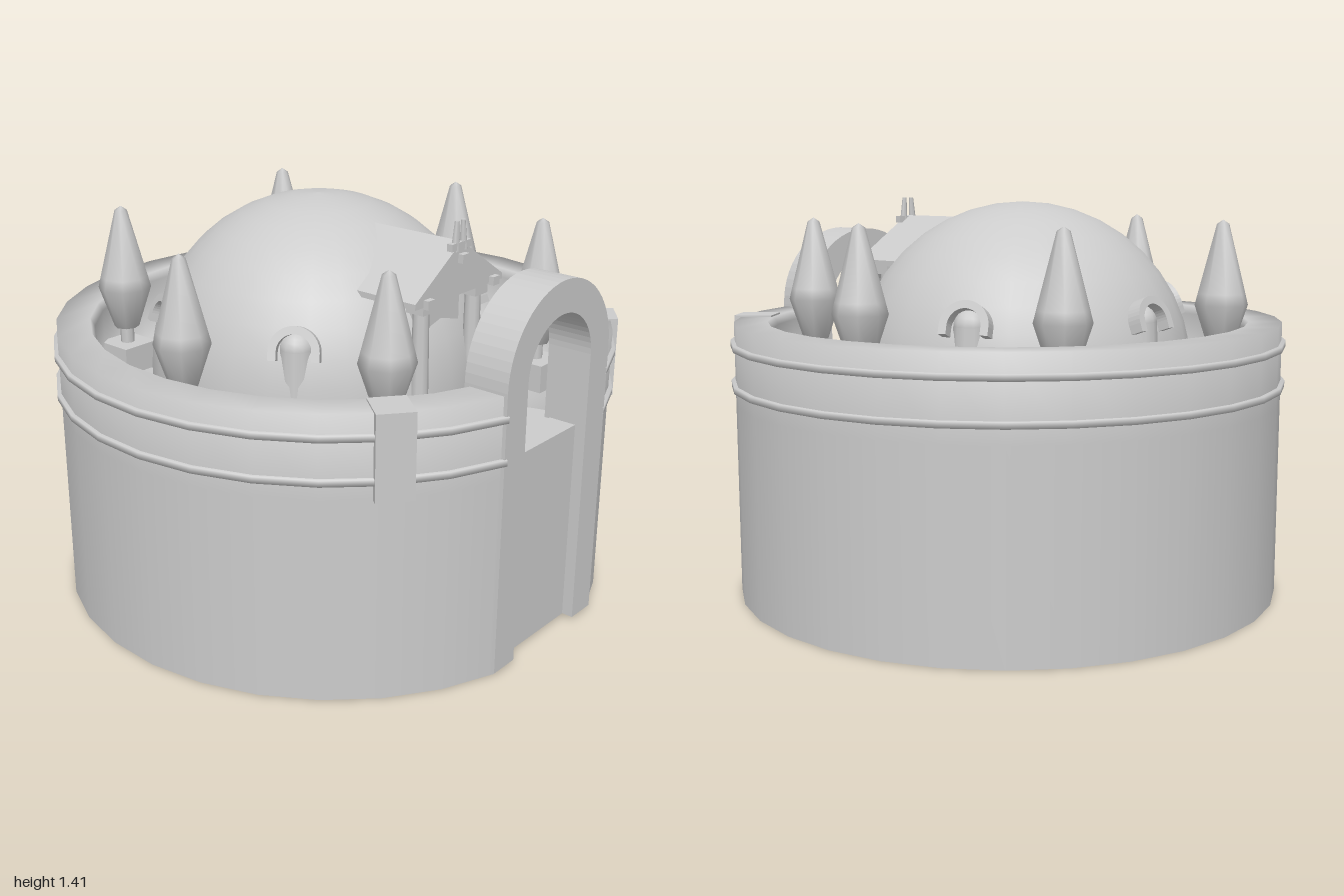
import * as THREE from 'three';

const mat = new THREE.MeshStandardMaterial({ color: 0xcccccc, side: THREE.DoubleSide });

function add(parent, name, geo, x = 0, y = 0, z = 0) {
  const m = new THREE.Mesh(geo, mat);
  m.name = name;
  m.position.set(x, y, z);
  parent.add(m);
  return m;
}
const box = (w, h, d) => new THREE.BoxGeometry(w, h, d);
const lathe = (pts, seg, start = 0, len = Math.PI * 2) =>
  new THREE.LatheGeometry(pts.map(p => new THREE.Vector2(...p)), seg, start, len);

// Upside-down U outline: straight legs from y0 up to y1, then a half circle
function archShape(ro, ri, y0, y1) {
  const s = new THREE.Shape();
  s.moveTo(ro, y0);
  s.lineTo(ro, y1);
  s.absarc(0, y1, ro, 0, Math.PI, false);
  s.lineTo(-ro, y0);
  s.lineTo(-ri, y0);
  s.lineTo(-ri, y1);
  s.absarc(0, y1, ri, Math.PI, 0, true);
  s.lineTo(ri, y0);
  return s;
}
const extrude = (shape, depth, curveSegments = 10) =>
  new THREE.ExtrudeGeometry(shape, { depth, bevelEnabled: false, curveSegments });

const FLOOR = 0.73;
const WALL_Z = 0.02;
const DOME_Z = -0.053;

export function createModel() {
  const model = new THREE.Group();
  model.name = 'domedCourt';

  // Round wall with inner floor ring, open at the gate
  const gap = 0.29, sweep = Math.PI * 2 - gap * 2;
  add(model, 'wall', lathe([[0.983, 0], [0.983, 0.7], [0.983, 0.98], [0.865, 0.98], [0.85, 0.95],
    [0.85, FLOOR], [0.58, FLOOR]], 28, gap, sweep), 0, 0, WALL_Z);
  for (const y of [0.762, 0.905]) {
    add(model, 'wallBand', lathe([[0.97, y - 0.011], [0.997, y - 0.011], [0.997, y + 0.011], [0.97, y + 0.011]],
      28, gap, sweep), 0, 0, WALL_Z);
  }
  const floor = add(model, 'floor', new THREE.CircleGeometry(0.85, 28), 0, FLOOR - 0.004, WALL_Z);
  floor.rotation.x = -Math.PI / 2;
  add(model, 'floorLip', new THREE.CylinderGeometry(0.85, 0.85, 0.03, 28, 1, true), 0, FLOOR - 0.019, WALL_Z);

  // Clips over the rim on both sides of the gate: outer plate and top plate
  for (const s of [-1, 1]) {
    const clip = new THREE.Group();
    clip.name = 'rimClip';
    clip.position.z = WALL_Z;
    clip.rotation.y = s * 0.67;
    add(clip, 'clipPlate', box(0.125, 0.288, 0.035), 0, 0.842, 0.985);
    add(clip, 'clipTop', box(0.125, 0.012, 0.13), 0, 0.98, 0.93);
    model.add(clip);
  }

  // Gate: tall arch, recessed panel and sill
  const gate = new THREE.Group();
  gate.name = 'gate';
  model.add(gate);
  add(gate, 'gateArch', extrude(archShape(0.293, 0.182, 0.01, 0.99), 0.16, 14), 0, 0, 0.81);
  add(gate, 'gatePanel', box(0.366, 0.69, 0.03), 0, 0.355, 0.915);
  add(gate, 'gateSill', box(0.366, 0.03, 0.1), 0, 0.715, 0.88);
  add(gate, 'gateFoot', box(0.366, 0.025, 0.06), 0, 0.022, 0.9);

  // Dome: upper half of a sphere on a short drum
  const profile = [[0.607, FLOOR]];
  for (let i = 0; i <= 10; i++) {
    const t = i / 10 * Math.PI / 2;
    profile.push([0.607 * Math.cos(t), 0.8 + 0.602 * Math.sin(t)]);
  }
  add(model, 'dome', lathe(profile, 28), 0, 0, DOME_Z);

  // Hooded windows leaning against the dome
  for (const deg of [180, 115, -115, 52, -56]) {
    const win = new THREE.Group();
    win.name = 'domeWindow';
    win.position.set(0, 0, DOME_Z);
    win.rotation.y = THREE.MathUtils.degToRad(deg);
    const hood = add(win, 'windowHood', extrude(archShape(0.085, 0.058, -0.03, 0), 0.06), 0, 1.0, 0.55);
    hood.rotation.x = -0.33;
    add(win, 'windowNiche', new THREE.CylinderGeometry(0.058, 0.07, 0.28, 12), 0, FLOOR + 0.14, 0.537);
    add(win, 'windowNicheTop', new THREE.SphereGeometry(0.058, 12, 6, 0, Math.PI * 2, 0, Math.PI / 2),
      0, 1.01, 0.537);
    model.add(win);
  }

  // Spikes on stems and square pedestals
  const spikeProfile = [[0, 0.885], [0.045, 0.89], [0.095, 1.04], [0.085, 1.08], [0.022, 1.325], [0, 1.34]];
  const spots = [[-0.425, -0.62], [0.42, -0.62], [-0.72, 0], [0.675, 0.05], [-0.425, 0.61], [0.42, 0.61]];
  for (const [x, z] of spots) {
    const spike = new THREE.Group();
    spike.name = 'spike';
    spike.position.set(x, 0, z);
    add(spike, 'spikeBlade', lathe(spikeProfile, 8));
    add(spike, 'spikeStem', new THREE.CylinderGeometry(0.025, 0.025, 0.08, 8), 0, 0.855, 0);
    add(spike, 'spikePedestal', box(0.145, 0.125, 0.145), 0, 0.7675, 0);
    model.add(spike);
  }

  // Porch in front of the dome, with a solid gable roof
  const porch = new THREE.Group();
  porch.name = 'porch';
  porch.position.x = -0.012;
  model.add(porch);
  const roof = new THREE.Shape();
  [[-0.24, 1.16], [0.24, 1.16], [0.24, 1.18], [0, 1.34], [-0.24, 1.18]]
    .forEach(([x, y], i) => (i ? roof.lineTo(x, y) : roof.moveTo(x, y)));
  add(porch, 'porchRoof', extrude(roof, 0.38), 0, 0, 0.2);
  add(porch, 'porchDoor', box(0.225, 0.41, 0.13), 0, FLOOR + 0.205, 0.43);
  for (const x of [-0.18, 0, 0.18]) add(porch, 'beamEnd', box(0.035, 0.03, 0.04), x, x ? 1.17 : 1.285, 0.58);
  for (const s of [-1, 1]) {
    const x = s * 0.143;
    add(porch, 'porchColumn', new THREE.CylinderGeometry(0.027, 0.031, 0.38, 10), x, 0.94, 0.53);
    add(porch, 'columnBase', box(0.07, 0.04, 0.07), x, 0.75, 0.53);
    add(porch, 'columnCapital', box(0.07, 0.035, 0.07), x, 1.14, 0.53);
    // One horn of the forked finial
    const horn = add(porch, 'finialHorn', new THREE.CylinderGeometry(0.008, 0.015, 0.1, 6), s * 0.02, 1.358, 0.57);
    horn.rotation.z = s * 0.06;
  }
  add(porch, 'finialBar', box(0.105, 0.025, 0.022), 0, 1.325, 0.57);

  return model;
}
